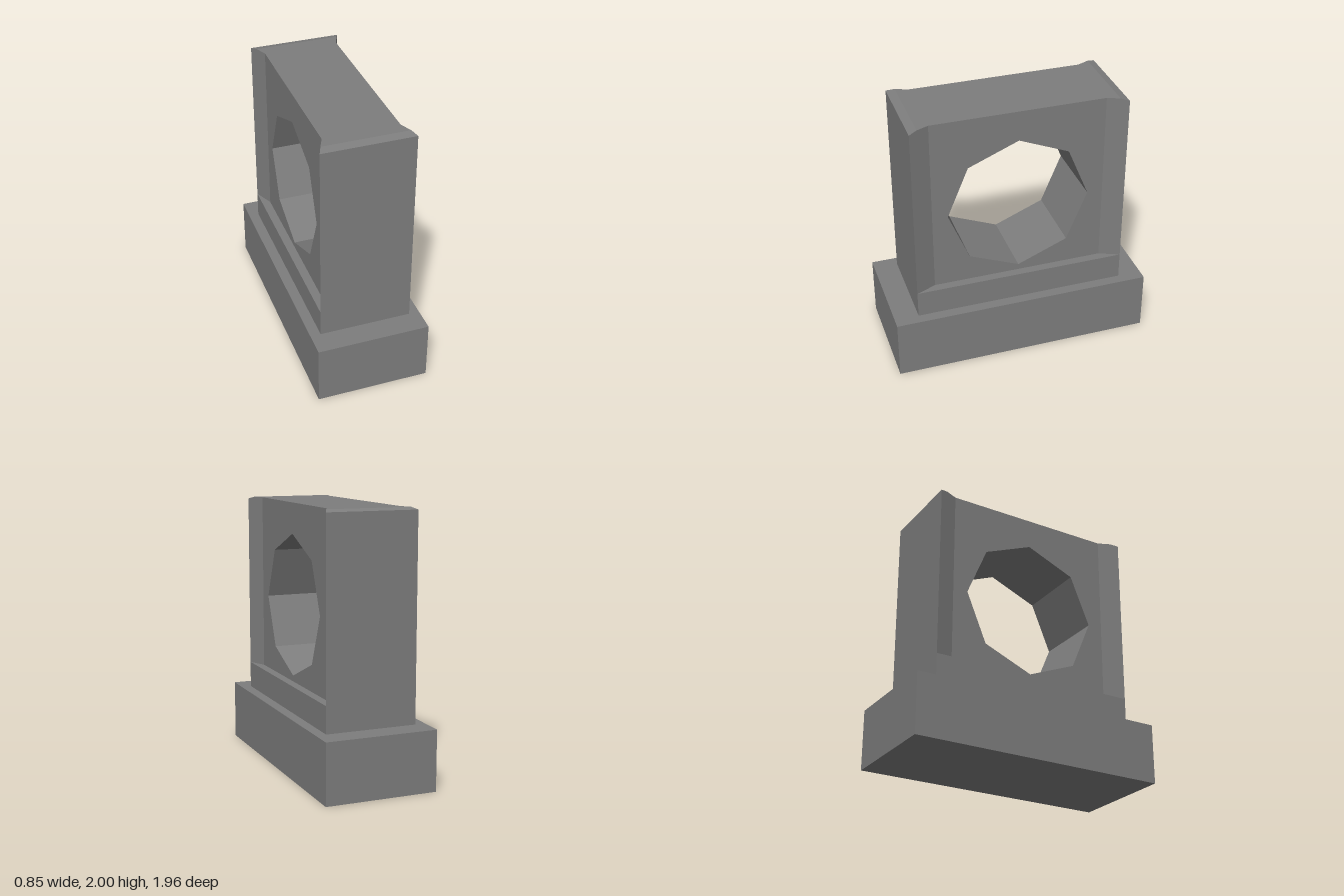
import * as THREE from 'three';

const BASE_TOP = 0.455, LEDGE = 0.657, TOP = 2;
const HALF_OUTER = 0.345, HALF_INNER = 0.28;
const Z_PANEL = 0.65, Z_BEVEL = 0.74, Z_END = 0.8;

export function createModel() {
  const group = new THREE.Group();
  const material = new THREE.MeshStandardMaterial({ color: 0x7d7d7d, flatShading: true });

  function add(name, geometry) {
    const mesh = new THREE.Mesh(geometry, material);
    mesh.name = name;
    group.add(mesh);
    return mesh;
  }

  function block(name, width, y0, y1, depth) {
    add(name, new THREE.BoxGeometry(width, y1 - y0, depth)).position.y = (y0 + y1) / 2;
  }

  // Wide foot and the narrower step below the recessed panel
  block('base', 0.846, 0, BASE_TOP, 1.963);
  block('plinth', 2 * HALF_OUTER, BASE_TOP, LEDGE, 2 * Z_END);

  // Recessed centre panel with an octagonal opening running through it
  const panel = new THREE.Shape([
    new THREE.Vector2(-Z_PANEL, LEDGE), new THREE.Vector2(Z_PANEL, LEDGE),
    new THREE.Vector2(Z_PANEL, TOP), new THREE.Vector2(-Z_PANEL, TOP),
  ]);
  const corners = [];
  for (let i = 0; i < 8; i++) {
    const a = -i * Math.PI / 4;
    corners.push(new THREE.Vector2(0.534 * Math.cos(a), 1.236 + 0.534 * Math.sin(a)));
  }
  panel.holes.push(new THREE.Path(corners));
  const panelGeometry = new THREE.ExtrudeGeometry(panel, { depth: 2 * HALF_INNER, bevelEnabled: false });
  panelGeometry.translate(0, 0, -HALF_INNER).rotateY(Math.PI / 2);
  add('piercedPanel', panelGeometry);

  // End posts flare out from the panel; their top slopes down at the outer edge
  function endPost() {
    const geometry = new THREE.BoxGeometry(2, 2, 2, 1, 1, 2);
    const p = geometry.attributes.position;
    const depths = [Z_PANEL, Z_BEVEL, Z_END];
    for (let i = 0; i < p.count; i++) {
      const ring = Math.round(p.getZ(i)) + 1;
      const z = depths[ring];
      const half = THREE.MathUtils.mapLinear(z, Z_PANEL, Z_END, HALF_INNER, HALF_OUTER);
      const top = ring === 2 ? TOP - 0.016 : TOP;
      p.setXYZ(i, Math.sign(p.getX(i)) * half, p.getY(i) > 0 ? top : LEDGE, z);
    }
    geometry.computeVertexNormals();
    return geometry;
  }
  add('frontPost', endPost());
  add('backPost', endPost().rotateY(Math.PI));

  return group;
}
